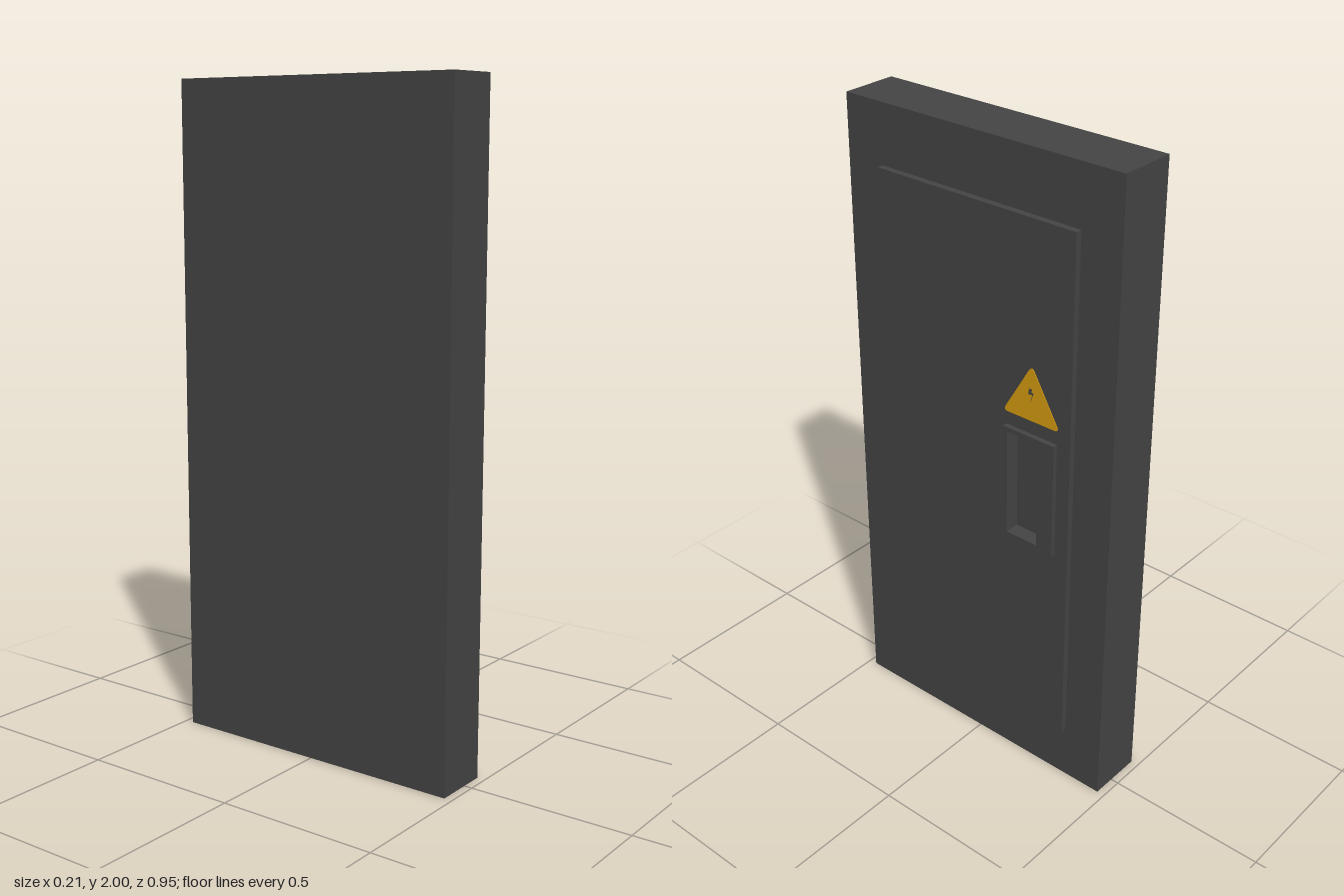
import * as THREE from 'three';

export function createModel() {
  const model = new THREE.Group();
  const grey = new THREE.MeshStandardMaterial({ color: 0x444444 });
  grey.name = 'dark grey metal';
  const yellow = new THREE.MeshStandardMaterial({ color: 0xd49b10 });
  yellow.name = 'warning yellow';

  const add = (name, geometry, material) => {
    const mesh = new THREE.Mesh(geometry, material);
    mesh.name = name;
    model.add(mesh);
  };

  // Rectangular outline; u runs along -z, v along y
  const rect = (Type, u0, u1, v0, v1) => new Type([
    new THREE.Vector2(u0, v0), new THREE.Vector2(u1, v0),
    new THREE.Vector2(u1, v1), new THREE.Vector2(u0, v1),
  ]);

  // Layer spanning x0..x1, its outline facing +x
  const layer = (shape, x0, x1) =>
    new THREE.ExtrudeGeometry(shape, { depth: x1 - x0, bevelEnabled: false, curveSegments: 4 })
      .rotateY(Math.PI / 2)
      .translate(x0, 0, 0);

  // Layer with the handle recess cut through it
  const cutLayer = (u0, u1, v0, v1, x0, x1) => {
    const shape = rect(THREE.Shape, u0, u1, v0, v1);
    shape.holes.push(rect(THREE.Path, 0.135, 0.245, 0.835, 1.17));
    return layer(shape, x0, x1);
  };

  // Slab: solid core forming the recess floor, then the front skin
  add('doorCore', layer(rect(THREE.Shape, -0.475, 0.475, 0, 2), -0.106, 0.06), grey);
  add('doorSkin', cutLayer(-0.475, 0.475, 0, 2, 0.06, 0.071), grey);

  // Raised panel and recessed handle plate
  add('raisedPanel', cutLayer(-0.345, 0.345, 0.18, 1.82, 0.071, 0.091), grey);
  add('handlePlate', cutLayer(0.12, 0.3, 0.82, 1.185, 0.091, 0.106), grey);

  // Warning triangle with softened corners
  const sign = new THREE.Shape();
  sign.moveTo(0.125, 1.227);
  sign.lineTo(0.292, 1.227);
  sign.quadraticCurveTo(0.307, 1.227, 0.299, 1.242);
  sign.lineTo(0.218, 1.382);
  sign.quadraticCurveTo(0.209, 1.397, 0.2, 1.382);
  sign.lineTo(0.118, 1.242);
  sign.quadraticCurveTo(0.11, 1.227, 0.125, 1.227);
  add('warningTriangle', layer(sign, 0.091, 0.093), yellow);

  // Small bolt mark on the triangle
  const bolt = new THREE.Shape([
    [0.207, 1.285], [0.213, 1.31], [0.199, 1.308], [0.202, 1.326], [0.212, 1.326], [0.209, 1.316], [0.217, 1.315],
  ].map(([u, v]) => new THREE.Vector2(u, v)));
  add('boltMark', layer(bolt, 0.093, 0.094), grey);

  return model;
}
